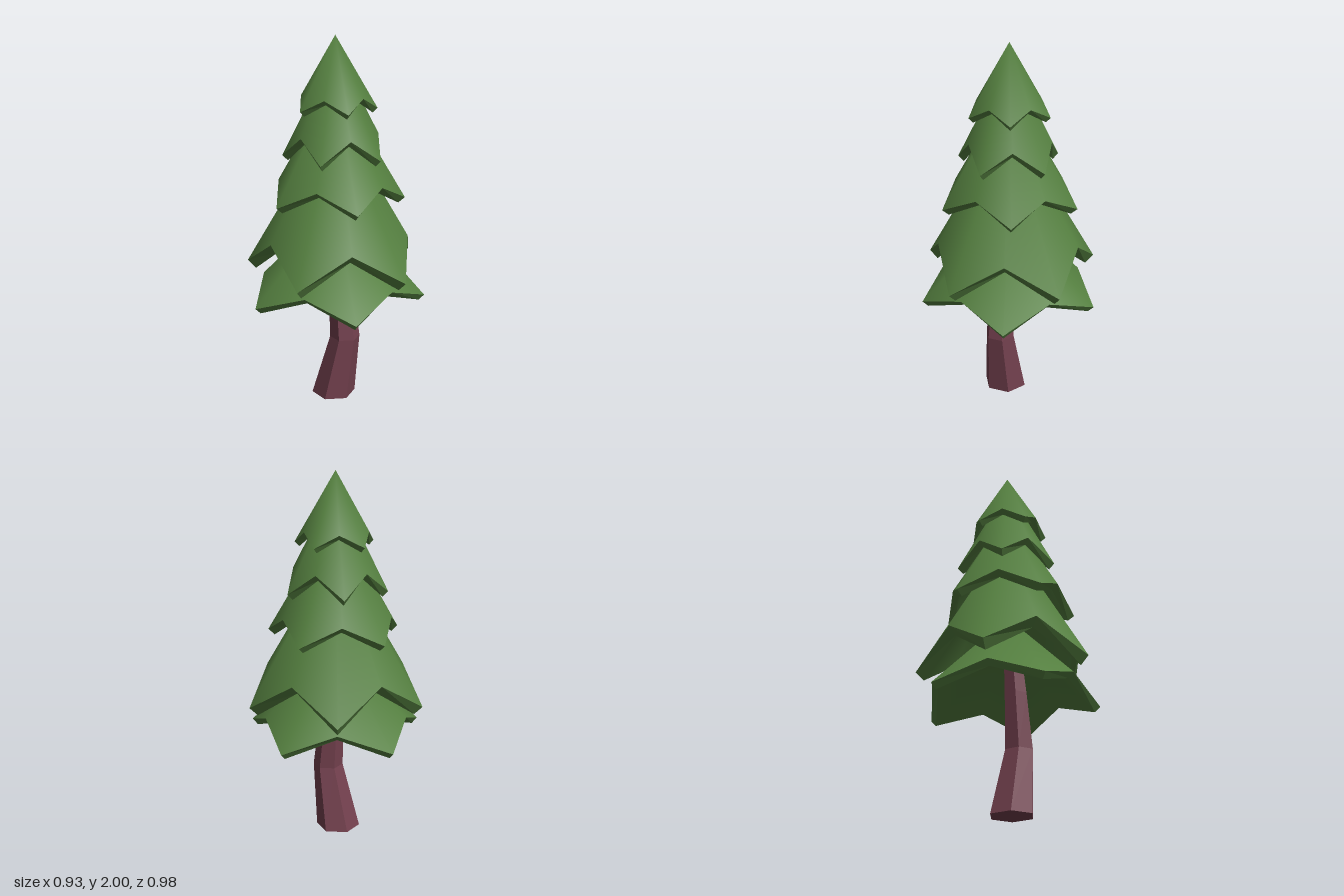
import * as THREE from 'three';

const foliage = new THREE.MeshStandardMaterial({ color: 0x558040 });
foliage.name = 'foliage green';
const bark = new THREE.MeshStandardMaterial({ color: 0x74414f });
bark.name = 'bark brown';

// Mesh from points and triangle indices, faceted or smooth
function surface(name, points, index, material, smooth) {
  let geo = new THREE.BufferGeometry().setFromPoints(points);
  geo.setIndex(index);
  if (!smooth) geo = geo.toNonIndexed();
  geo.computeVertexNormals();
  const mesh = new THREE.Mesh(geo, material);
  mesh.name = name;
  return mesh;
}

// Five-pointed skirt: pentagonal in plan, with raised notches between the tips
function tier({ name, turn, radius, apex, tipY, notchY, inset, drop }) {
  const outer = [], inner = [];
  for (let i = 0; i < 10; i++) {
    const a = THREE.MathUtils.degToRad(turn + i * 36);
    const notch = i % 2 === 1;
    const r = notch ? radius * Math.cos(Math.PI / 5) : radius;
    const y = notch ? notchY : tipY;
    outer.push(new THREE.Vector3(Math.sin(a) * r, y, Math.cos(a) * r));
    inner.push(new THREE.Vector3(Math.sin(a) * (r - inset), y - drop, Math.cos(a) * (r - inset)));
  }
  const top = [], rim = [], under = [];
  for (let i = 0; i < 10; i++) {
    const j = (i + 1) % 10;
    top.push(10, i, j);
    rim.push(i, 10 + i, 10 + j, i, 10 + j, j);
    under.push(10, j, i);
  }
  const slope = (apex - tipY) / radius;
  const innerApex = apex - drop - slope * inset;
  const group = new THREE.Group();
  group.name = name;
  group.add(
    surface(name + 'Top', [...outer, new THREE.Vector3(0, apex, 0)], top, foliage, true),
    surface(name + 'Rim', [...outer, ...inner], rim, foliage, false),
    surface(name + 'Underside', [...inner, new THREE.Vector3(0, innerApex, 0)], under, foliage, true)
  );
  return group;
}

// Bent six-sided trunk lofted through rings of [x, y, z, radius]
function trunk() {
  const rings = [
    [0, 0, 0.025, 0.12],
    [0.07, 0.355, 0.028, 0.082],
    [0.043, 0.66, 0.025, 0.066],
    [0.02, 0.95, 0.015, 0.05],
  ];
  const points = [], index = [];
  for (const [x, y, z, r] of rings) {
    for (let i = 0; i < 6; i++) {
      const a = (i * Math.PI) / 3;
      points.push(new THREE.Vector3(x + Math.sin(a) * r, y, z + Math.cos(a) * r));
    }
  }
  for (let k = 0; k < rings.length - 1; k++) {
    for (let i = 0; i < 6; i++) {
      const a = k * 6 + i, b = k * 6 + ((i + 1) % 6);
      index.push(a, b, b + 6, a, b + 6, a + 6);
    }
  }
  // End caps
  const last = (rings.length - 1) * 6;
  for (let i = 1; i < 5; i++) index.push(0, i + 1, i, last, last + i, last + i + 1);
  return surface('trunk', points, index, bark, false);
}

export function createModel() {
  const tree = new THREE.Group();
  tree.name = 'pineTree';
  tree.add(trunk());

  // Foliage tiers from the ground up
  const tiers = [
    { name: 'lowestTier', turn: 180, radius: 0.49, apex: 1.1, tipY: 0.595, notchY: 0.695, inset: 0.03, drop: 0.03 },
    { name: 'lowerTier', turn: 0, radius: 0.485, apex: 1.6, tipY: 0.765, notchY: 0.935, inset: 0.045, drop: 0.045 },
    { name: 'middleTier', turn: 185.2, radius: 0.373, apex: 1.77, tipY: 1.14, notchY: 1.24, inset: 0.035, drop: 0.03 },
    { name: 'upperTier', turn: 8, radius: 0.28, apex: 1.93, tipY: 1.375, notchY: 1.49, inset: 0.03, drop: 0.03 },
    { name: 'topTier', turn: 185, radius: 0.22, apex: 2, tipY: 1.625, notchY: 1.69, inset: 0.025, drop: 0.025 },
  ];
  for (const t of tiers) tree.add(tier(t));
  return tree;
}
